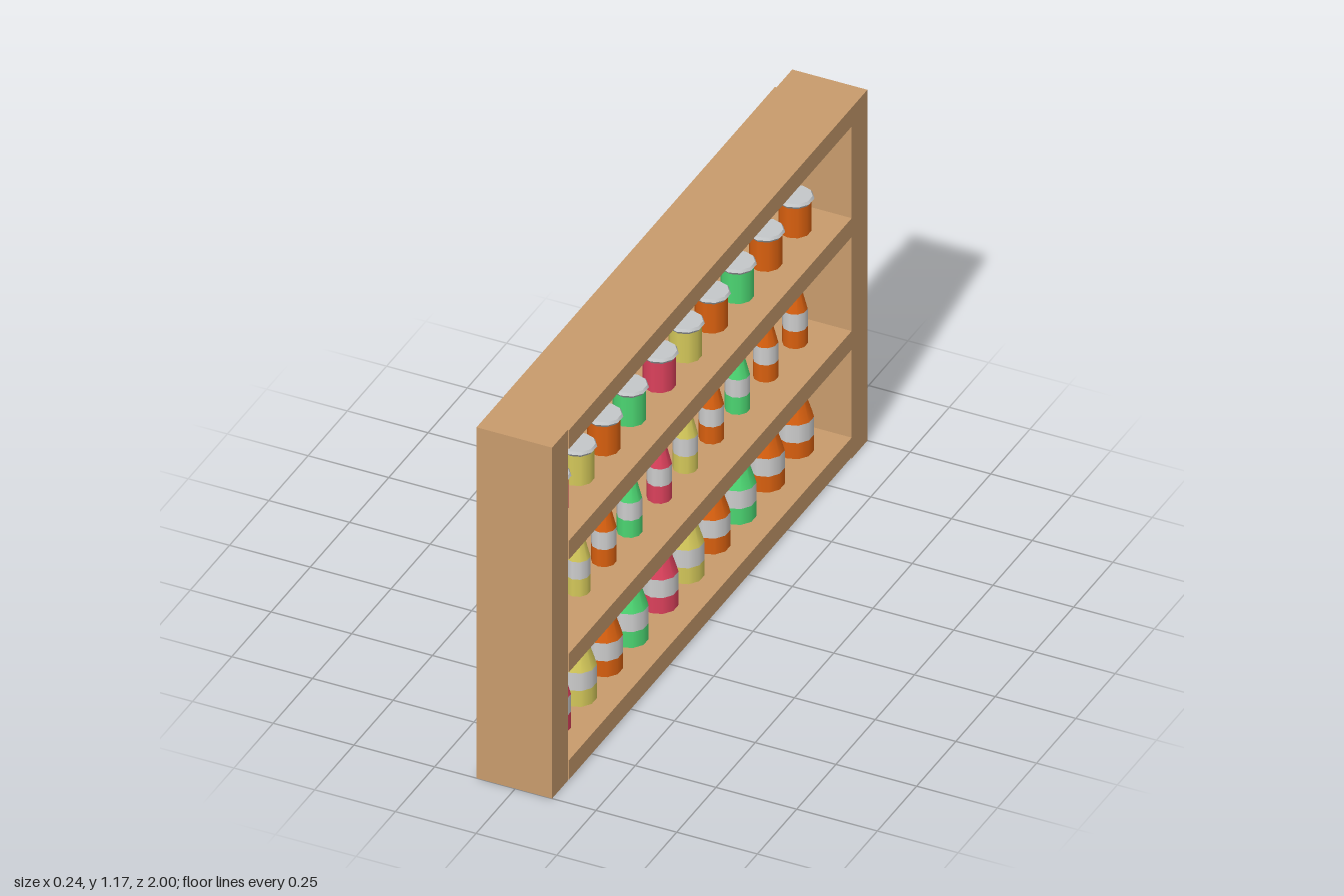
import * as THREE from 'three';

const mat = (name, color) => {
  const m = new THREE.MeshStandardMaterial({ color });
  m.name = name;
  return m;
};

export function createModel() {
  const wood = mat('wood', 0xc89b6c);
  const red = mat('red', 0xdc415c);
  const yellow = mat('yellow', 0xd4c85a);
  const orange = mat('orange', 0xd9600f);
  const green = mat('green', 0x4cd672);
  const paper = mat('label', 0xcdcdcd);
  const metal = mat('lid', 0xc4c7c9);

  const root = new THREE.Group();
  root.name = 'bottleShelf';

  // Wooden frame: boards given by their x, y and z ranges
  const board = (name, x0, x1, y0, y1, z0, z1) => {
    const mesh = new THREE.Mesh(new THREE.BoxGeometry(x1 - x0, y1 - y0, z1 - z0), wood);
    mesh.name = name;
    mesh.position.set((x0 + x1) / 2, (y0 + y1) / 2, (z0 + z1) / 2);
    root.add(mesh);
  };
  board('frontSide', -0.12, 0.114, 0, 1.175, 0.9, 1);
  board('backSide', -0.115, 0.118, 0, 1.175, -1, -0.9);
  board('bottomBoard', -0.12, 0.118, 0.005, 0.07, -0.9, 0.9);
  board('lowerShelf', -0.12, 0.118, 0.365, 0.427, -0.9, 0.9);
  board('upperShelf', -0.12, 0.118, 0.742, 0.805, -0.9, 0.9);
  board('topBoard', -0.12, 0.118, 1.112, 1.175, -0.9, 0.9);

  // One round section of a container, from radius r0 at y0 to r1 at y1
  const band = (group, name, material, r0, r1, y0, y1, open = true) => {
    const mesh = new THREE.Mesh(new THREE.CylinderGeometry(r1, r0, y1 - y0, 10, 1, open), material);
    mesh.name = name;
    mesh.position.y = (y0 + y1) / 2;
    group.add(mesh);
  };

  // Bottle: base, paper label, tapering shoulder, neck and lip
  const bottle = (glass, r, neck, labelY0, labelY1) => {
    const g = new THREE.Group();
    g.name = 'bottle';
    band(g, 'base', glass, r, r, 0, labelY0, false);
    band(g, 'paperLabel', paper, r, r, labelY0, labelY1);
    band(g, 'shoulder', glass, r, neck * 1.15, labelY1, 0.21);
    band(g, 'neck', glass, neck * 1.15, neck, 0.21, 0.238);
    band(g, 'lip', glass, neck + 0.003, neck + 0.003, 0.237, 0.243, false);
    return g;
  };

  // Jar: straight body with an overhanging bevelled lid
  const jar = (glass) => {
    const g = new THREE.Group();
    g.name = 'jar';
    band(g, 'body', glass, 0.047, 0.047, 0, 0.1, false);
    band(g, 'lidRim', metal, 0.047, 0.055, 0.098, 0.108, false);
    band(g, 'lidTop', metal, 0.055, 0.05, 0.108, 0.116, false);
    return g;
  };

  // Ten columns of containers, one colour per column
  const columns = [
    [0.767, red], [0.602, yellow], [0.436, orange], [0.273, green], [0.083, red],
    [-0.083, yellow], [-0.249, orange], [-0.414, green], [-0.594, orange], [-0.781, orange],
  ];
  for (const [z, color] of columns) {
    const rows = [
      [bottle(color, 0.054, 0.019, 0.053, 0.112), 0.07],
      [bottle(color, 0.036, 0.01, 0.057, 0.115), 0.427],
      [jar(color), 0.805],
    ];
    for (const [item, y] of rows) {
      item.position.set(0, y, z);
      root.add(item);
    }
  }
  return root;
}
